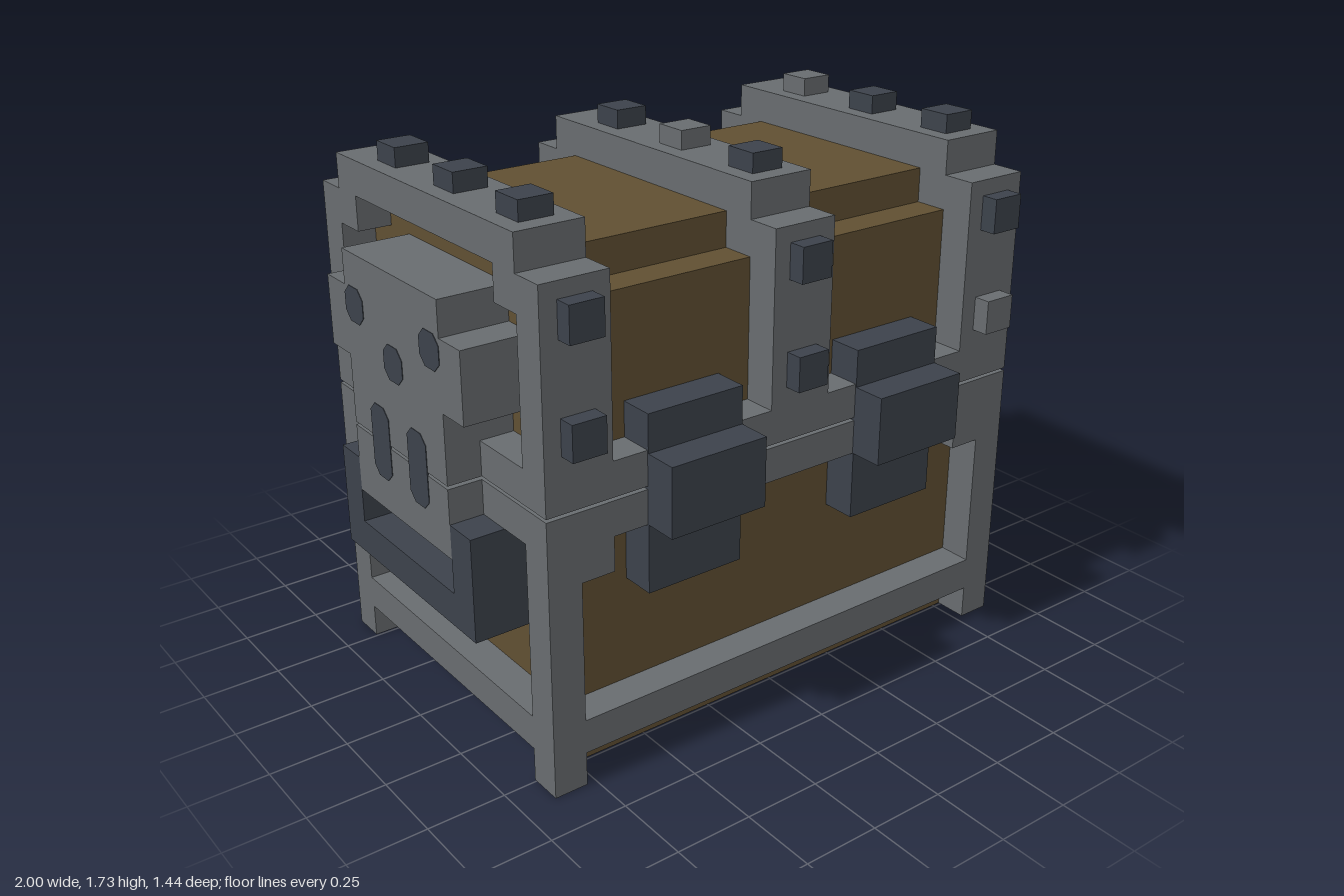
import * as THREE from 'three';

const mat = (name, color) => {
  const m = new THREE.MeshStandardMaterial({ color });
  m.name = name;
  return m;
};

export function createModel() {
  const iron = mat('grey iron', 0x686c6f);
  const dark = mat('dark iron', 0x3c424b);
  const wood = mat('brown wood', 0x604f32);
  const rimWood = mat('wheel wood', 0x8c4b1c);
  const gripWood = mat('light wheel wood', 0xc47c48);
  const brass = mat('brass', 0xae8a14);

  const model = new THREE.Group();
  model.name = 'chest';
  const chest = new THREE.Group();
  chest.name = 'chestParts';
  chest.position.z = -0.008;
  model.add(chest);

  const add = (name, geo, material) => {
    const m = new THREE.Mesh(geo, material);
    m.name = name;
    chest.add(m);
    return m;
  };
  // Box from its extents
  const box = (name, material, x0, x1, y0, y1, z0, z1) => {
    const g = new THREE.BoxGeometry(Math.abs(x1 - x0), y1 - y0, Math.abs(z1 - z0));
    g.translate((x0 + x1) / 2, (y0 + y1) / 2, (z0 + z1) / 2);
    return add(name, g, material);
  };
  const points = (list) => list.map(([x, y]) => new THREE.Vector2(x, y));
  // Extrude a (z, y) shape along x between x0 and x1
  const alongX = (name, material, shape, x0, x1) => {
    const g = new THREE.ExtrudeGeometry(shape, { depth: x1 - x0, bevelEnabled: false });
    g.rotateY(-Math.PI / 2);
    g.translate(x1, 0, 0);
    return add(name, g, material);
  };
  // Stepped vault cross-section of the lid
  const vault = (w, y0, y1, step) => points([
    [-w, y0], [w, y0], [w, y1], [w - step, y1], [w - step, y1 + step],
    [step - w, y1 + step], [step - w, y1], [-w, y1],
  ]);
  const sides = [-1, 1];

  // Base
  box('baseWood', wood, -0.78, 0.78, 0, 0.885, -0.5, 0.5);
  for (const s of sides) {
    box('baseTopRail', iron, -0.78, 0.78, 0.78, 0.89, s * 0.5, s * 0.61);
    box('baseBottomRail', iron, -0.78, 0.78, 0.11, 0.22, s * 0.5, s * 0.61);
    box('sideTopRail', iron, s * 0.78, s * 0.89, 0.78, 0.89, -0.5, 0.5);
    box('sideBottomRail', iron, s * 0.78, s * 0.89, 0.11, 0.22, -0.5, 0.5);
    for (const t of sides) {
      box('cornerPost', iron, s * 0.78, s * 0.89, 0, 0.89, t * 0.5, t * 0.61);
      box('cornerBracket', iron, s * 0.67, s * 0.78, 0.67, 0.78, t * 0.5, t * 0.61);
    }
  }

  // Lid
  alongX('lidWood', wood, new THREE.Shape(vault(0.5, 0.905, 1.45, 0.11)), -0.78, 0.78);
  for (const [x0, x1] of [[-0.89, -0.67], [-0.11, 0.11], [0.67, 0.89]]) {
    const arch = new THREE.Shape(vault(0.61, 0.9, 1.56, 0.11));
    arch.holes.push(new THREE.Path(vault(0.5, 1.01, 1.45, 0.11)));
    alongX('lidArch', iron, arch, x0, x1);
  }
  for (const s of sides) {
    for (const t of sides) {
      box('lidRail', iron, t * 0.11, t * 0.67, 0.9, 1.01, s * 0.5, s * 0.61);
    }
  }

  // Rivets; a few are plain grey
  for (const i of [-1, 0, 1]) {
    const x = i * 0.78;
    for (const [j, y] of [1.455, 1.125].entries()) {
      const frontGrey = i === 1 && j === 1;
      const backGrey = (i === 1 && j === 1) || (i === -1 && j === 0);
      box('frontRivet', frontGrey ? iron : dark, x - 0.055, x + 0.055, y - 0.055, y + 0.055, 0.6, 0.665);
      if (i !== 0 || j === 0) {
        box('backRivet', backGrey ? iron : dark, x - 0.055, x + 0.055, y - 0.055, y + 0.055, -0.665, -0.6);
      }
    }
    for (const j of [-1, 0, 1]) {
      const z = 0.05 + j * 0.333;
      const grey = (i === 1 && j === -1) || (i === 0 && j === 0);
      box('topRivet', grey ? iron : dark, x - 0.055, x + 0.055, 1.66, 1.73, z - 0.055, z + 0.055);
    }
  }

  // Front hasps
  for (const s of sides) {
    box('haspPlate', dark, s * 0.222, s * 0.555, 0.56, 1.12, 0.49, 0.613);
    box('haspBlock', dark, s * 0.222, s * 0.555, 0.78, 1.0, 0.6, 0.722);
  }

  // Chamfered dark plate on a side face
  const plate = (name, s, z, y, w, h) => {
    const a = w / 2, b = h / 2, c = 0.028;
    const shape = new THREE.Shape(points([
      [z - a, y - b + c], [z - a + c, y - b], [z + a - c, y - b], [z + a, y - b + c],
      [z + a, y + b - c], [z + a - c, y + b], [z - a + c, y + b], [z - a, y + b - c],
    ]));
    alongX(name, dark, shape, s > 0 ? 0.998 : -1.002, s > 0 ? 1.002 : -0.998);
  };

  // Skull and carrying handle on each side
  for (const s of sides) {
    const face = new THREE.Shape(points([
      [-0.278, 0.9], [0.278, 0.9], [0.278, 1.12], [0.39, 1.12], [0.39, 1.34], [0.278, 1.34],
      [0.278, 1.45], [-0.278, 1.45], [-0.278, 1.34], [-0.39, 1.34], [-0.39, 1.12], [-0.278, 1.12],
    ]));
    alongX('skullFace', iron, face, s > 0 ? 0.77 : -1, s > 0 ? 1 : -0.77);
    box('skullJaw', iron, s * 0.77, s, 0.67, 0.89, -0.278, 0.278);
    for (const t of sides) {
      plate('skullEye', s, t * 0.222, 1.29, 0.11, 0.11);
      plate('skullTooth', s, t * 0.111, 0.893, 0.11, 0.235);
      box('handleArm', dark, s * 0.77, s, 0.45, 0.78, t * 0.278, t * 0.39);
    }
    plate('skullNose', s, 0, 1.175, 0.11, 0.11);
    box('handleBar', dark, s * 0.77, s, 0.45, 0.56, -0.278, 0.278);
  }

  // Ship's wheel on the back: hexagonal rim, spokes, grips, hub
  const wheel = new THREE.Group();
  wheel.name = 'wheel';
  wheel.position.set(-0.018, 0.795, -0.605);
  chest.add(wheel);
  const part = (name, geo, material) => {
    const m = new THREE.Mesh(geo, material);
    m.name = name;
    wheel.add(m);
  };
  const polar = (r, a) => [r * Math.cos(a), r * Math.sin(a)];
  const rim = new THREE.Shape(points([0, 1, 2, 3, 4, 5].map((i) => polar(0.45, i * Math.PI / 3))));
  const apothem = 0.28, half = 0.042;
  const edge = (apothem / 2 - half) / Math.cos(Math.PI / 6);
  for (let i = 0; i < 6; i++) {
    const a = (i + 0.5) * Math.PI / 3, c = Math.cos(a), n = Math.sin(a);
    rim.holes.push(new THREE.Path(points([
      [half * 2 * c, half * 2 * n],
      [apothem * c - edge * n, apothem * n + edge * c],
      [apothem * c + edge * n, apothem * n - edge * c],
    ])));
    const grip = new THREE.BoxGeometry(0.2, 0.105, 0.095);
    grip.translate(0.51, 0, -0.0525);
    grip.rotateZ(i * Math.PI / 3);
    part('wheelGrip', grip, gripWood);
  }
  const rimGeo = new THREE.ExtrudeGeometry(rim, { depth: 0.1, bevelEnabled: false });
  rimGeo.translate(0, 0, -0.105);
  part('wheelRim', rimGeo, rimWood);
  const hub = new THREE.CylinderGeometry(0.11, 0.11, 0.1, 8).toNonIndexed();
  hub.rotateY(Math.PI / 8);
  hub.rotateX(Math.PI / 2);
  hub.translate(0, 0, -0.059);
  hub.computeVertexNormals();
  part('wheelHub', hub, brass);

  return model;
}
